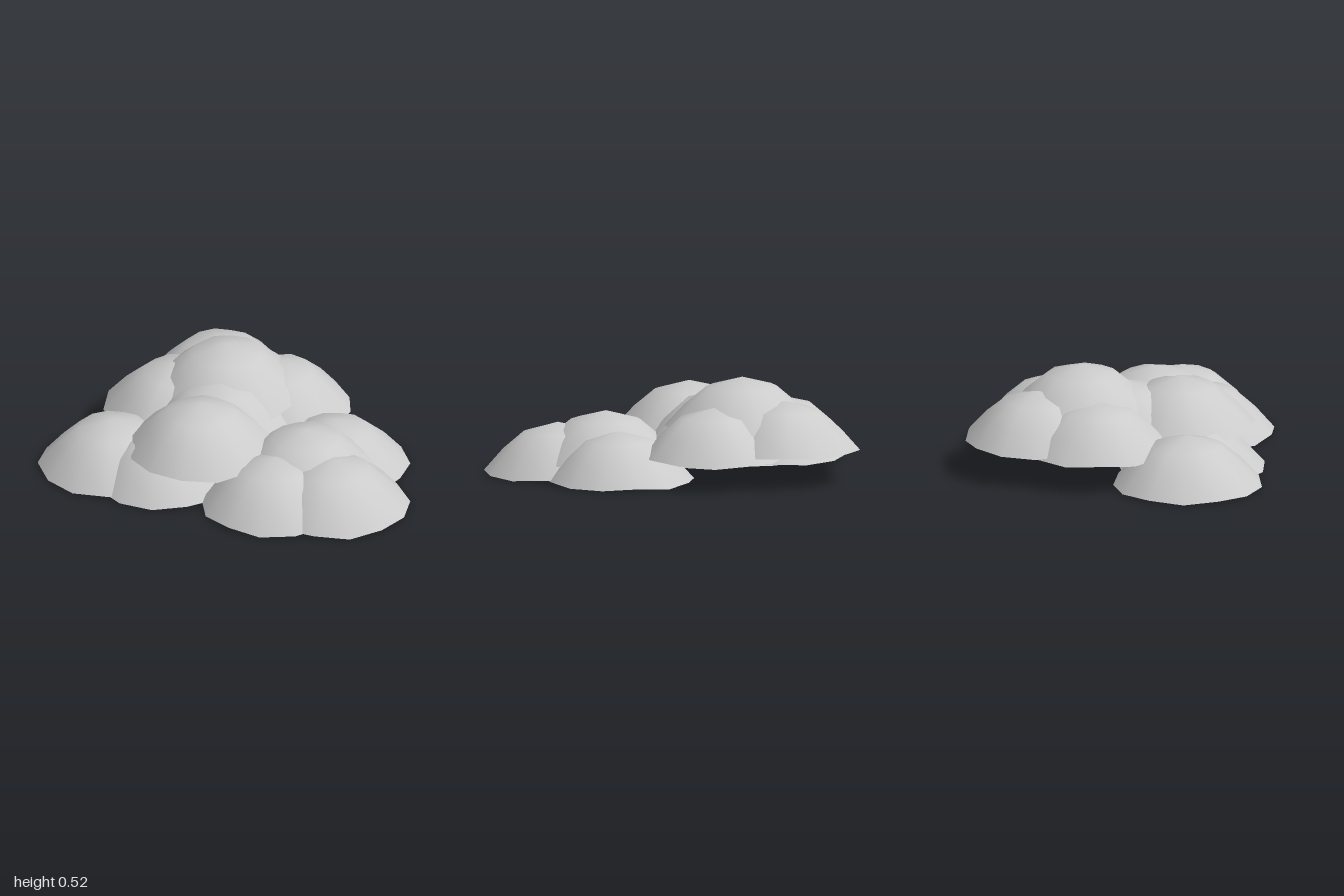
import * as THREE from 'three';
import { mergeVertices } from 'three/addons/utils/BufferGeometryUtils.js';

const SIDES = 13;
// Dome profile from rim to crown: [share of radius, share of height]
const PROFILE = [[1, 0], [0.74, 0.44], [0.46, 0.8], [0, 1]];

// Open, slightly irregular cap with smooth normals
function domeGeometry(radius, height, seed) {
  const points = PROFILE.map(([r, h]) => new THREE.Vector2(r * radius, h * height));
  let geo = new THREE.LatheGeometry(points, SIDES, seed * 0.9);
  geo.deleteAttribute('uv');
  geo.deleteAttribute('normal');
  geo = mergeVertices(geo, 1e-4);
  const p = geo.attributes.position;
  for (let i = 0; i < p.count; i++) {
    const x = p.getX(i), z = p.getZ(i), r = Math.hypot(x, z);
    if (r < 1e-3) continue;
    const a = Math.atan2(z, x);
    const k = 1 + 0.01 * Math.sin(3 * a + seed * 2.1) + 0.01 * Math.sin(5 * a + seed);
    const lift = 0.007 * (1 + Math.sin(5 * a + seed * 1.7)) * (r / radius);
    p.setXYZ(i, x * k, p.getY(i) + lift, z * k);
  }
  geo.computeVertexNormals();
  return geo;
}

export function createModel() {
  const model = new THREE.Group();
  model.name = 'bush';
  const material = new THREE.MeshStandardMaterial({ color: 0xcccccc, side: THREE.DoubleSide });

  // name, x, rim y, z, radius, height
  const domes = [
    // low clumps on the ground
    ['frontRightClump', -0.61, 0.003, 0.395, 0.39, 0.262],
    ['frontMiddleClump', -0.32, 0.003, 0.385, 0.385, 0.257],
    ['frontLeftClump', 0.335, 0.003, 0.37, 0.385, 0.264],
    ['leftClump', 0.615, 0.003, 0.235, 0.387, 0.267],
    ['backLeftClump', 0.41, 0.003, -0.145, 0.385, 0.262],
    // middle clumps
    ['leftUpperClump', 0.39, 0.07, 0.125, 0.395, 0.265],
    ['rightClump', -0.49, 0.145, -0.085, 0.387, 0.255],
    ['backRightClump', -0.41, 0.16, -0.405, 0.385, 0.26],
    ['backMiddleClump', -0.035, 0.135, -0.355, 0.38, 0.26],
    ['innerClump', -0.19, 0.17, 0.005, 0.38, 0.26],
    ['frontUpperClump', -0.135, 0.18, 0.31, 0.39, 0.26],
    // crown
    ['crownClump', -0.25, 0.26, -0.19, 0.4, 0.264],
  ];

  domes.forEach(([name, x, y, z, radius, height], i) => {
    const dome = new THREE.Mesh(domeGeometry(radius, height, i + 1), material);
    dome.name = name;
    dome.position.set(x, y, z);
    model.add(dome);
  });
  return model;
}
